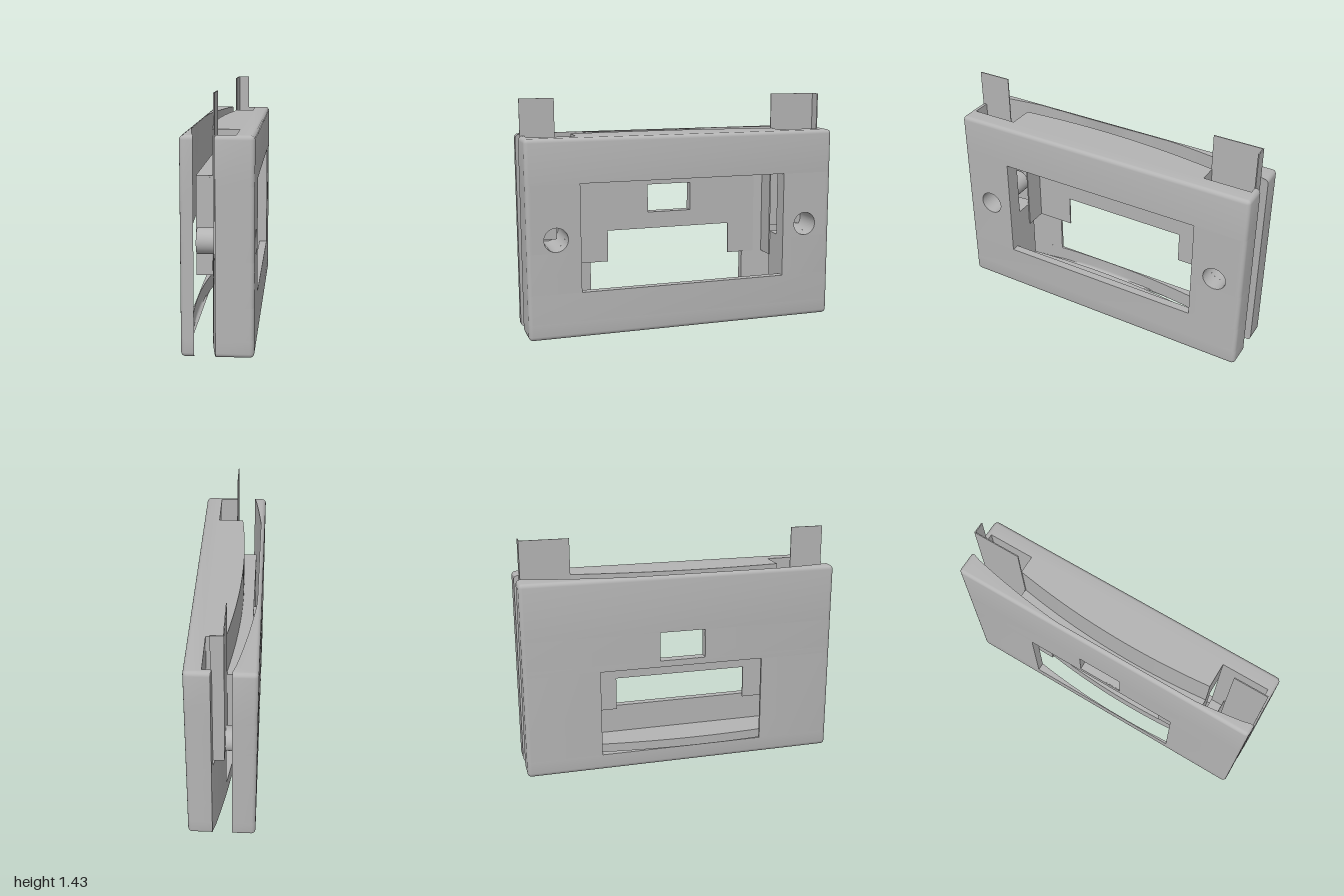
import * as THREE from 'three';
import { toCreasedNormals } from 'three/addons/utils/BufferGeometryUtils.js';

// Local frame: n (thickness) = x, y up, u (length) = -z
const L = 0.98, R = 0.025, H = 1.21, CAV = 0.655, POCKET = 0.945;
const frontSeam = u => 0.022 + 0.033 * u - 0.1 * (1 - u * u / 0.96);
const backSeam = u => frontSeam(u) - 0.116;

// Sampled seam curve between two stations
function arc(f, u0, u1, steps = 14) {
  return Array.from({ length: steps + 1 }, (_, i) => {
    const u = u0 + (u1 - u0) * i / steps;
    return [u, f(u)];
  });
}

// Plan outline: inner edge points (u ascending), flat outer face, rounded ends
function outline(inner, face, inset) {
  const s = Math.sign(face), lim = L - inset, pts = [];
  for (const [u, n] of inner) {
    const top = Math.abs(face) - inset - 0.004;
    pts.push([THREE.MathUtils.clamp(u, -lim, lim), s > 0 ? Math.min(n, top) : Math.max(n, -top)]);
  }
  const corner = (u, flip) => {
    const c = [];
    if (Math.abs(u) < L - 1e-6) c.push([u, face - s * inset]);
    else for (let k = 0; k <= 4; k++) {
      const t = k / 4 * Math.PI / 2, r = R - inset;
      c.push([Math.sign(u) * (L - R + r * Math.cos(t)), face - s * R + s * r * Math.sin(t)]);
    }
    return flip ? c.reverse() : c;
  };
  pts.push(...corner(inner[inner.length - 1][0], false), ...corner(inner[0][0], true));
  return pts;
}

// Stack of plan outlines joined by walls and closed with caps
function loft(inner, face, rows) {
  const rings = rows.map(([y, inset]) => {
    const ring = outline(inner, face, inset).map(([u, n]) => new THREE.Vector2(-u, n));
    return { y, ring };
  });
  if (THREE.ShapeUtils.isClockWise(rings[0].ring)) rings.forEach(r => r.ring.reverse());
  const pos = [];
  const put = (r, i) => pos.push(r.ring[i].y, r.y, r.ring[i].x);
  const count = rings[0].ring.length;
  for (let k = 0; k + 1 < rings.length; k++) {
    const a = rings[k], b = rings[k + 1];
    for (let i = 0; i < count; i++) {
      const j = (i + 1) % count;
      put(a, i); put(a, j); put(b, j);
      put(a, i); put(b, j); put(b, i);
    }
  }
  const lo = rings[0], hi = rings[rings.length - 1];
  for (const [a, b, c] of THREE.ShapeUtils.triangulateShape(lo.ring.slice(), [])) {
    put(lo, a); put(lo, c); put(lo, b);
  }
  for (const [a, b, c] of THREE.ShapeUtils.triangulateShape(hi.ring.slice(), [])) {
    put(hi, a); put(hi, b); put(hi, c);
  }
  const g = new THREE.BufferGeometry();
  g.setAttribute('position', new THREE.Float32BufferAttribute(pos, 3));
  return toCreasedNormals(g, 0.6);
}

// Plain or rounded row lists
const plain = (y0, y1) => [[y0, 0], [y1, 0]];
const round = [0, 1, 2, 3, 4].map(k => {
  const t = k / 4 * Math.PI / 2;
  return [R * (1 - Math.cos(t) ) + 0, 0, t];
}).map(([, , t]) => [R * (1 - Math.sin(t)), t]);
const edge = round.map(([inset, t]) => [R * (1 - Math.cos(t)), Math.min(inset, R - 0.003)]);
const bottomRows = y1 => [...edge, [y1, 0]];
const topRows = y0 => [[y0, 0], ...edge.map(([y, i]) => [H - y, i]).reverse()];

export function createModel() {
  const model = new THREE.Group();
  const body = new THREE.Group();
  body.name = 'case';
  body.rotation.y = -0.191;
  model.add(body);

  const grey = new THREE.MeshStandardMaterial({ color: 0xb4b4b4, side: THREE.DoubleSide });
  grey.name = 'grey plastic';

  const add = (name, geometry, parent = body) => {
    const m = new THREE.Mesh(geometry, grey);
    m.name = name;
    parent.add(m);
    return m;
  };
  // Box by ranges in n, y and u
  const box = (name, n0, n1, y0, y1, u0, u1, parent) => {
    const m = add(name, new THREE.BoxGeometry(n1 - n0, y1 - y0, Math.abs(u1 - u0)), parent);
    m.position.set((n0 + n1) / 2, (y0 + y1) / 2, -(u0 + u1) / 2);
    return m;
  };
  // Plate drawn in (u, y), thickened from n0 to n1
  const plate = (name, shape, n0, n1, parent) => {
    const g = new THREE.ExtrudeGeometry(shape, { depth: n1 - n0, bevelEnabled: false, curveSegments: 24 });
    const m = add(name, g.rotateY(Math.PI / 2), parent);
    m.position.x = n0;
    return m;
  };
  const rect = (Type, u0, u1, y0, y1) => new Type([
    [u0, y0], [u1, y0], [u1, y1], [u0, y1]].map(p => new THREE.Vector2(...p)));
  const span = (s, a, b) => s > 0 ? [a, b] : [-b, -a];

  // Front half
  const front = new THREE.Group();
  front.name = 'frontHalf';
  body.add(front);
  add('frontBottom', loft(arc(frontSeam, -L, L, 28), 0.2, bottomRows(0.1)), front);
  add('frontLowerWall', loft([
    ...arc(frontSeam, -L, -CAV), [-CAV, 0.15], [CAV, 0.15], ...arc(frontSeam, CAV, L)
  ], 0.2, plain(0.1, 0.28)), front);
  add('frontTop', loft([
    ...arc(frontSeam, -L, -POCKET, 2), [-POCKET, 0.1], [-CAV, 0.1],
    ...arc(frontSeam, -CAV, CAV, 24),
    [CAV, 0.1], [POCKET, 0.1], ...arc(frontSeam, POCKET, L, 2)
  ], 0.2, topRows(0.94)), front);

  for (const s of [-1, 1]) {
    const side = s > 0 ? 'right' : 'left';
    const [a, b] = span(s, CAV, L), [p, q] = span(s, CAV, POCKET), [e, f] = span(s, POCKET, L);
    add(side + 'FrontEnd', loft(arc(frontSeam, a, b), 0.2, plain(0.28, 0.53)), front);
    add(side + 'FrontEndStrip', loft(arc(frontSeam, e, f, 2), 0.2, plain(0.53, 0.94)), front);
    // Screw hole panel, post and pocket behind it
    const panel = rect(THREE.Shape, p, q, 0.53, 0.94);
    const hole = new THREE.Path();
    hole.absarc(s * 0.805, 0.61, 0.073, 0, Math.PI * 2, true);
    panel.holes.push(hole);
    plate(side + 'ScrewPanel', panel, 0.1, 0.2, front);
    const post = add(side + 'ScrewPost', new THREE.CylinderGeometry(0.073, 0.073, 0.225, 32, 1, true)
      .rotateZ(Math.PI / 2), front);
    post.position.set(-0.0125, 0.61, -s * 0.805);
    const cap = add(side + 'PostCap', new THREE.CircleGeometry(0.073, 32).rotateY(-Math.PI / 2), front);
    cap.position.set(-0.125, 0.61, -s * 0.805);
    // Side wall of the inner tray
    const [w0, w1] = span(s, CAV - 0.008, CAV);
    box(side + 'TrayWall', -0.148, 0.0, 0.375, 0.94, w0, w1, front);
  }

  // Inner tray with a small window and a wide cutout
  const tray = new THREE.Shape([
    [-CAV, 0.375], [-0.41, 0.375], [-0.41, 0.575], [0.41, 0.575], [0.41, 0.375],
    [CAV, 0.375], [CAV, 0.94], [-CAV, 0.94]].map(p => new THREE.Vector2(...p)));
  tray.holes.push(rect(THREE.Path, -0.143, 0.143, 0.68, 0.86));
  plate('trayBack', tray, -0.148, -0.138, front);
  box('trayTop', -0.148, 0.01, 0.94, 0.95, -CAV, CAV, front);

  // Raised frame around the small window
  const frame = rect(THREE.Shape, -0.152, 0.152, 0.67, 0.87);
  frame.holes.push(rect(THREE.Path, -0.143, 0.143, 0.68, 0.86));
  plate('windowFrame', frame, -0.195, -0.14, front);

  // Upright tabs: a flat one and an angled one
  box('leftTab', -0.018, -0.012, 0.57, 1.43, -0.97, -0.76);
  box('rightTab', -0.018, -0.012, 0.57, 1.43, 0.65, 0.95);
  box('rightTabReturn', -0.018, 0.055, 0.57, 1.43, 0.944, 0.95);

  // Back half
  const back = new THREE.Group();
  back.name = 'backHalf';
  body.add(back);
  add('backBottom', loft(arc(backSeam, -L, L, 28), -0.2, bottomRows(0.1)), back);
  add('backBand', loft(arc(backSeam, -L, L, 28), -0.2, plain(0.64, 0.68)), back);
  add('backTop', loft(arc(backSeam, -L, L, 28), -0.2, topRows(0.86)), back);
  for (const s of [-1, 1]) {
    const side = s > 0 ? 'right' : 'left';
    add(side + 'BackEnd', loft(arc(backSeam, ...span(s, 0.515, L)), -0.2, plain(0.1, 0.64)), back);
    add(side + 'BackWindowSide', loft(arc(backSeam, ...span(s, 0.143, L)), -0.2, plain(0.68, 0.86)), back);
  }
  return model;
}
